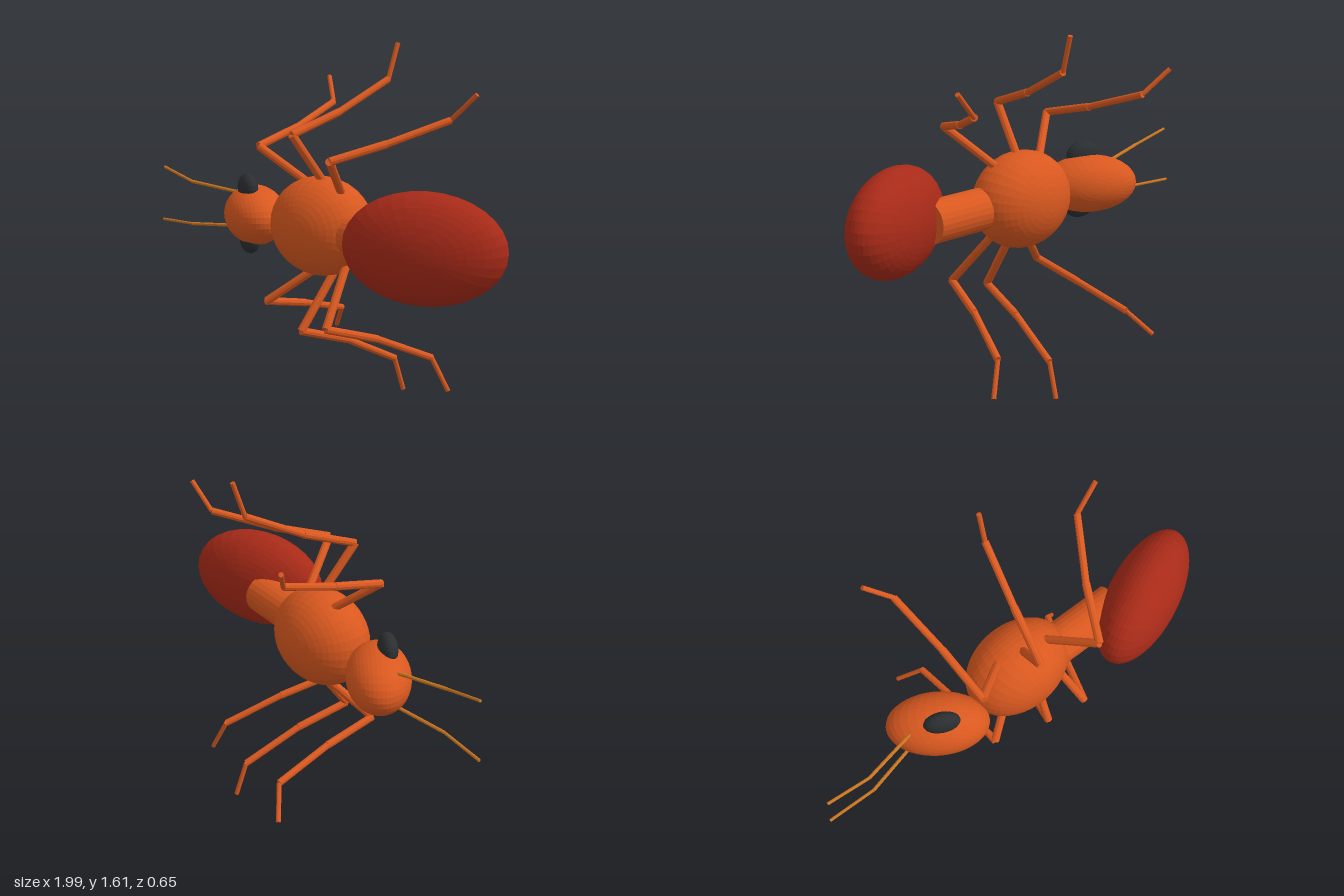
import * as THREE from 'three';

const material = (color) => new THREE.MeshStandardMaterial({ color, flatShading: true });
const orange = material(0xd9581f);
const red = material(0xa82a18);
const dark = material(0x2b2f31);
const amber = material(0xc87420);

// Ellipsoid with poles along z, tilted about y
function ellipsoid(name, mat, centre, radii, tilt, segments = 32) {
  const geometry = new THREE.SphereGeometry(1, segments, segments * 0.75).rotateX(Math.PI / 2);
  geometry.scale(...radii);
  const mesh = new THREE.Mesh(geometry, mat);
  mesh.name = name;
  mesh.position.set(...centre);
  mesh.rotation.y = tilt;
  return mesh;
}

// Cylinder joining two points
function rod(name, mat, from, to, r0, r1, sides) {
  const a = new THREE.Vector3(...from);
  const b = new THREE.Vector3(...to);
  const mesh = new THREE.Mesh(new THREE.CylinderGeometry(r1, r0, a.distanceTo(b), sides), mat);
  mesh.name = name;
  mesh.position.copy(a).add(b).multiplyScalar(0.5);
  mesh.quaternion.setFromUnitVectors(new THREE.Vector3(0, 1, 0), b.sub(a).normalize());
  return mesh;
}

// Chain of rods through a list of points
function limb(name, mat, points, radii, segmentNames, sides) {
  const group = new THREE.Group();
  group.name = name;
  segmentNames.forEach((part, i) => {
    group.add(rod(part, mat, points[i], points[i + 1], radii[i], radii[i], sides));
  });
  return group;
}

export function createModel() {
  const model = new THREE.Group();
  model.name = 'ant';

  // Body
  model.add(
    ellipsoid('thorax', orange, [0.035, 0.815, 0.08], [0.256, 0.222, 0.19], 0.25),
    ellipsoid('head', orange, [-0.395, 0.806, 0.158], [0.23, 0.136, 0.142], -0.38),
    ellipsoid('abdomen', red, [0.698, 0.826, 0.036], [0.347, 0.237, 0.16], 0.625),
    rod('waist', orange, [0.15, 0.808, 0.08], [0.56, 0.808, 0], 0.095, 0.095, 24),
  );

  // Eyes
  model.add(
    ellipsoid('upperEye', dark, [-0.39, 0.935, 0.2], [0.082, 0.07, 0.043], -0.25, 20),
    ellipsoid('lowerEye', dark, [-0.372, 0.702, 0.205], [0.082, 0.07, 0.043], -0.25, 20),
  );

  // Antennae
  const antennaParts = ['antennaBase', 'antennaTip'];
  model.add(
    limb('upperAntenna', amber, [[-0.52, 0.893, 0.17], [-0.77, 0.92, 0.28], [-0.975, 0.967, 0.317]],
      [0.008, 0.007], antennaParts, 8),
    limb('lowerAntenna', amber, [[-0.52, 0.733, 0.17], [-0.77, 0.713, 0.28], [-0.998, 0.703, 0.317]],
      [0.008, 0.007], antennaParts, 8),
  );

  // Legs: x and y at body, knee, shin, ankle and tip; every leg shares the same depths
  const depths = [0.06, 0.248, 0, -0.268, -0.32];
  const legs = {
    upperFrontLeg: [[-0.04, 0.97], [-0.215, 1.155], [-0.278, 1.215], [-0.37, 1.305], [-0.478, 1.415]],
    upperMiddleLeg: [[0.055, 0.98], [0.055, 1.235], [0.055, 1.317], [0.055, 1.445], [0.055, 1.605]],
    upperRearLeg: [[0.16, 0.97], [0.335, 1.155], [0.397, 1.215], [0.49, 1.305], [0.597, 1.42]],
    lowerFrontLeg: [[0.02, 0.64], [-0.16, 0.455], [-0.218, 0.397], [-0.3, 0.315], [-0.415, 0.195]],
    lowerMiddleLeg: [[0.12, 0.64], [0.12, 0.38], [0.12, 0.3], [0.12, 0.165], [0.12, 0.006]],
    lowerRearLeg: [[0.2, 0.68], [0.308, 0.43], [0.34, 0.355], [0.388, 0.235], [0.443, 0.085]],
  };
  for (const [name, path] of Object.entries(legs)) {
    const points = path.map(([x, y], i) => [x, y, depths[i]]);
    model.add(limb(name, orange, points, [0.019, 0.018, 0.016, 0.011],
      ['thigh', 'upperShin', 'lowerShin', 'foot'], 10));
  }
  return model;
}
